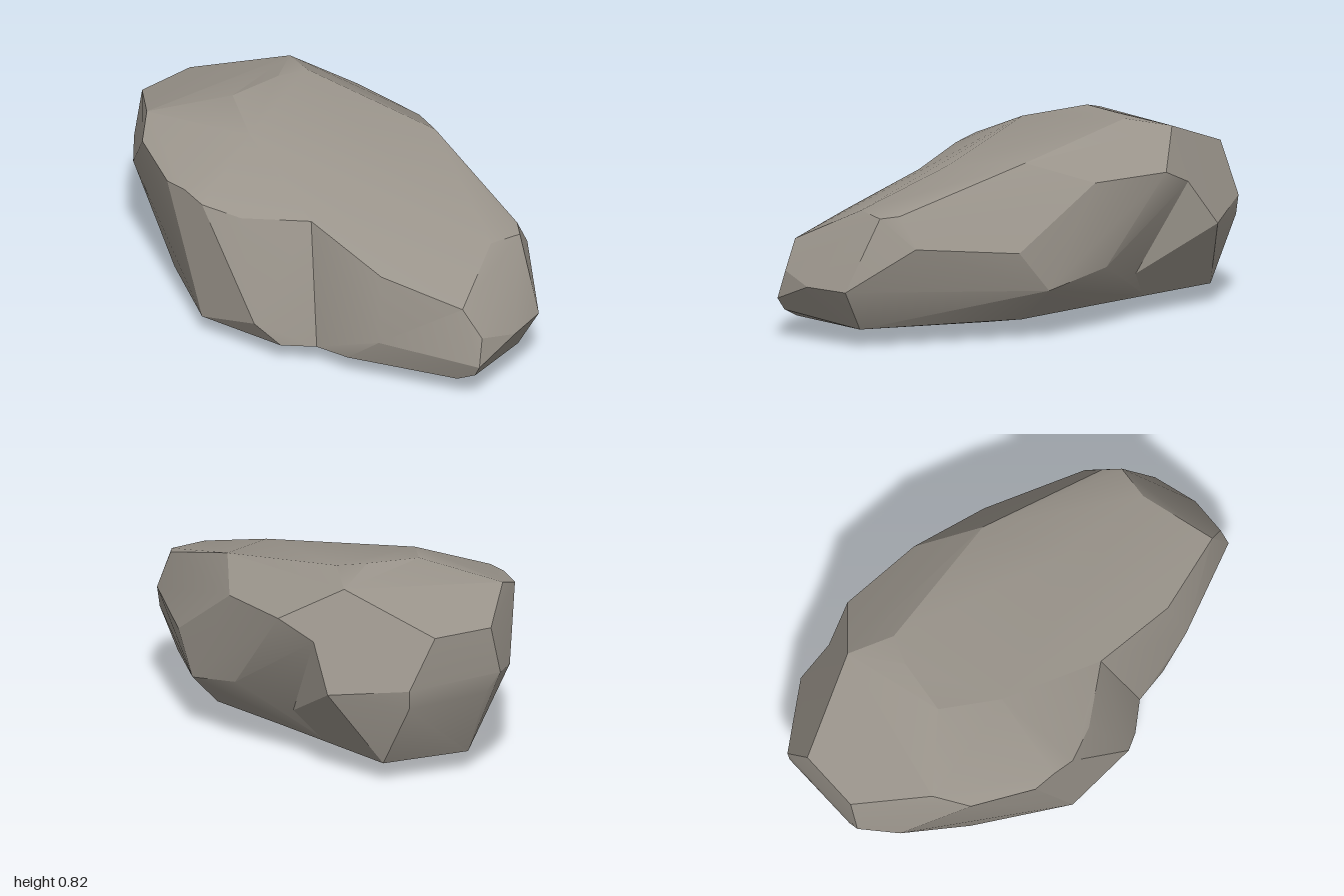
import * as THREE from 'three';
import { ConvexGeometry } from 'three/addons/geometries/ConvexGeometry.js';
import { toCreasedNormals } from 'three/addons/utils/BufferGeometryUtils.js';

export function createModel() {
  const stone = new THREE.MeshStandardMaterial({ color: 0x9a948b });
  stone.name = 'warmGreyStone';
  const group = new THREE.Group();
  group.name = 'boulder';

  // A faceted lump: the hull of its corner points, softened across shallow edges.
  function lump(name, corners) {
    const hull = new ConvexGeometry(corners.map((c) => new THREE.Vector3(...c)));
    const mesh = new THREE.Mesh(toCreasedNormals(hull, 0.42), stone);
    mesh.name = name;
    group.add(mesh);
  }

  // Corners shared by both lumps: crown, notch crease and rounded underside
  const shared = [
    [0.01, 0.78, -0.69], [0.03, 0.82, -0.49], [-0.1, 0.82, -0.47],
    [-0.32, 0.81, -0.38], [-0.32, 0.77, -0.11],
    [-0.18, 0.585, 0.34], [-0.2, 0.08, 0.5],
    [0.14, 0, 0.1], [-0.08, 0, 0.27], [-0.1, 0, -0.02],
  ];

  // Long ridge that slopes down to the front
  lump('frontRidge', [
    ...shared,
    // top rim
    [0.28, 0.64, -0.63], [0.46, 0.64, -0.31], [0.45, 0.73, -0.02], [0.27, 0.69, 0.28],
    [0.65, 0.56, 0.53], [0.64, 0.55, 0.61], [0.5, 0.56, 0.67],
    // flank
    [0.44, 0.28, -0.36], [0.6, 0.22, -0.1], [0.65, 0.39, 0.03], [0.71, 0.43, 0.47],
    [0.13, 0.22, -0.52], [0.14, 0.57, -0.74],
    // nose
    [0.68, 0.25, 0.76], [0.54, 0.25, 0.9], [0.36, 0.17, 1], [0.35, 0.12, 0.97],
    [0.38, 0.29, 0.97], [0.31, 0.41, 0.92], [0.03, 0.47, 0.67], [0, 0.2, 0.74],
    // foot
    [0.61, 0.08, 0.69], [0.29, 0.08, 0.91], [-0.1, 0.08, 0.62],
    [0.49, 0.08, 0], [0.07, 0.08, -0.57],
  ]);

  // Blunt shoulder at the rear, standing out beside the ridge
  lump('rearShoulder', [
    ...shared,
    // front face
    [-0.45, 0.58, 0.23], [-0.59, 0.61, 0.13], [-0.64, 0.64, 0.04],
    [-0.44, 0.17, 0.4], [-0.34, 0.08, 0.45],
    // outer flank
    [-0.69, 0.64, -0.05], [-0.72, 0.68, -0.33], [-0.66, 0.73, -0.48],
    [-0.68, 0.42, -0.62],
    // back face
    [-0.59, 0.64, -0.81], [-0.35, 0.64, -0.94], [-0.63, 0.44, -0.79],
    [-0.57, 0.36, -0.81], [-0.24, 0.43, -1], [-0.24, 0.35, -0.99],
    [0.09, 0.38, -0.87], [0.14, 0.57, -0.74], [0.12, 0.22, -0.53],
    // foot
    [-0.59, 0.08, 0.13], [-0.59, 0.08, -0.3], [-0.5, 0.08, -0.73],
    [-0.14, 0.08, -0.87], [0.29, 0.08, -0.27], [-0.35, 0.02, 0.1], [-0.2, 0.06, -0.7],
  ]);

  return group;
}
